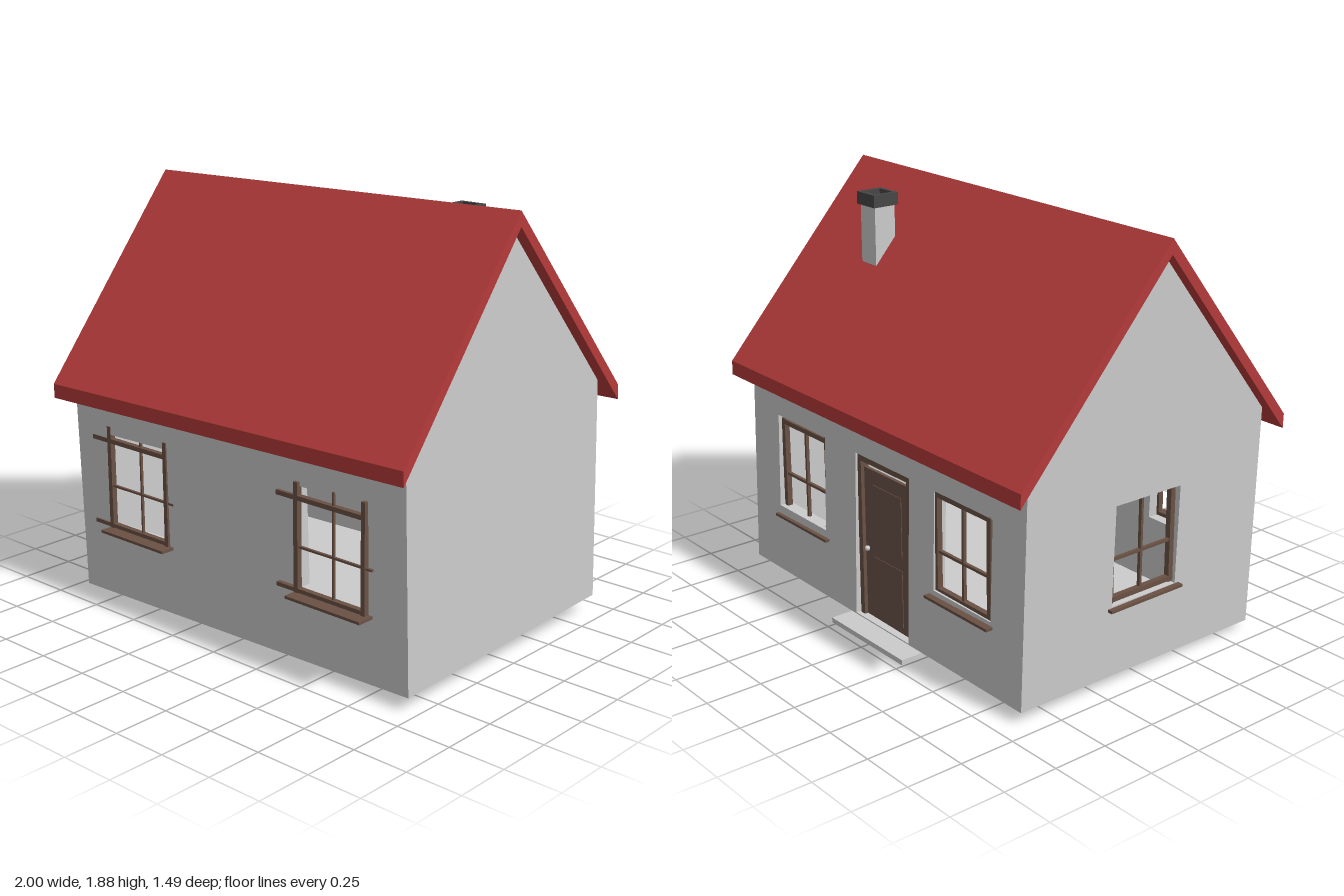
import * as THREE from 'three';

const mat = (color, extra = {}) => new THREE.MeshStandardMaterial({ color, flatShading: true, ...extra });
const plaster = mat(0xcccccc);
const roofRed = mat(0xb53a3a);
const frameBrown = mat(0x6a5244);
const doorBrown = mat(0x6b5248);
const capDark = mat(0x474747);

const W = 0.935, D = 0.65, T = 0.06;            // half width, half depth, wall thickness
const PITCH = 1.17, APEX = 1.745, EAVE = 0.73;  // roof slope and inner ridge height

function add(parent, name, geometry, material) {
  const mesh = new THREE.Mesh(geometry, material);
  mesh.name = name;
  parent.add(mesh);
  return mesh;
}

// Box given by its limits on each axis
function box(parent, name, [x0, x1], [y0, y1], [z0, z1], material) {
  const mesh = add(parent, name, new THREE.BoxGeometry(x1 - x0, y1 - y0, z1 - z0), material);
  mesh.position.set((x0 + x1) / 2, (y0 + y1) / 2, (z0 + z1) / 2);
  return mesh;
}

const polygon = (pts) => new THREE.Shape(pts.map(([x, y]) => new THREE.Vector2(x, y)));
const hole = (x0, x1, y0, y1) =>
  new THREE.Path([[x0, y0], [x0, y1], [x1, y1], [x1, y0]].map(([x, y]) => new THREE.Vector2(x, y)));
const extrude = (shape, depth) => new THREE.ExtrudeGeometry(shape, { depth, bevelEnabled: false });
const windowHole = (cx) => hole(cx - 0.18, cx + 0.18, 0.315, 0.75);

// Walls, floor and roof; this shell leans very slightly
function createShell() {
  const shell = new THREE.Group();
  shell.name = 'houseShell';
  const wallTop = APEX - D * PITCH;

  // Long walls
  const longWall = () => polygon([[-W + T, 0], [W - T, 0], [W - T, wallTop], [-W + T, wallTop]]);
  const front = longWall();
  front.holes.push(windowHole(-0.56), windowHole(0.56));
  add(shell, 'frontWall', extrude(front, T), plaster).position.z = D - T;
  const back = longWall();
  back.holes.push(windowHole(-0.56), windowHole(0.56), hole(-0.215, 0.155, 0.005, 0.75));
  add(shell, 'backWall', extrude(back, T), plaster).position.z = -D;

  // Gable walls, one with a window
  for (const side of [-1, 1]) {
    const gable = polygon([[-D, 0], [D, 0], [D, wallTop], [0, APEX], [-D, wallTop]]);
    if (side < 0) gable.holes.push(windowHole(0));
    const wall = add(shell, side < 0 ? 'rightGable' : 'leftGable', extrude(gable, T).rotateY(Math.PI / 2), plaster);
    wall.position.x = side < 0 ? -W : W - T;
  }

  box(shell, 'floor', [-W + T, W - T], [0, 0.015], [-D + T, D - T], plaster);

  // Roof as one chevron section with vertical fascias
  const low = APEX - EAVE * PITCH, thick = 0.064;
  const chevron = polygon([
    [-EAVE, low], [0, APEX], [EAVE, low],
    [EAVE, low + thick], [0, APEX + thick], [-EAVE, low + thick],
  ]);
  add(shell, 'roof', extrude(chevron, 1.975).rotateY(Math.PI / 2), roofRed).position.x = -0.9875;

  shell.rotation.set(0.0154, 0.0115, 0.0152);
  shell.position.set(0.016, 0.055, -0.005);
  return shell;
}

// Inset window facing +z: frame, cross bars and sill, centred on x = 0
function createWindow(name) {
  const g = new THREE.Group();
  g.name = name;
  const z = [-0.04, -0.015];
  for (const s of [-1, 1]) {
    box(g, 'windowJamb', [s * 0.168 - 0.012, s * 0.168 + 0.012], [0.36, 0.81], z, frameBrown);
    box(g, 'windowRail', [-0.18, 0.18], [0.574 + s * 0.21, 0.596 + s * 0.21], z, frameBrown);
  }
  box(g, 'mullion', [-0.006, 0.006], [0.37, 0.8], [-0.035, -0.02], frameBrown);
  box(g, 'crossBar', [-0.17, 0.17], [0.542, 0.554], [-0.035, -0.02], frameBrown);
  box(g, 'windowSill', [-0.2, 0.2], [0.34, 0.352], [-0.03, 0.025], frameBrown);
  return g;
}

// Front window: loose bars lapping over the wall face
function createFrontWindow(name, x) {
  const g = new THREE.Group();
  g.name = name;
  const z = [0.642, 0.667];
  box(g, 'windowJamb', [-0.18, -0.158], [0.35, 0.82], z, frameBrown);
  box(g, 'windowJamb', [0.175, 0.195], [0.35, 0.82], z, frameBrown);
  box(g, 'windowRail', [-0.275, 0.19], [0.745, 0.765], z, frameBrown);
  box(g, 'windowRail', [-0.275, 0.19], [0.355, 0.372], z, frameBrown);
  box(g, 'mullion', [0.021, 0.029], [0.35, 0.82], [0.648, 0.66], frameBrown);
  box(g, 'crossBar', [-0.16, 0.225], [0.543, 0.552], [0.648, 0.66], frameBrown);
  box(g, 'windowSill', [-0.18, 0.215], [0.34, 0.352], [0.62, 0.72], frameBrown);
  g.position.x = x;
  return g;
}

function createDoor() {
  const g = new THREE.Group();
  g.name = 'backDoor';
  const z = [-0.635, -0.595];
  box(g, 'doorJamb', [-0.215, -0.188], [0.03, 0.81], z, frameBrown);
  box(g, 'doorJamb', [0.13, 0.157], [0.03, 0.81], z, frameBrown);
  box(g, 'doorLintel', [-0.215, 0.157], [0.785, 0.81], z, frameBrown);
  box(g, 'doorLeaf', [-0.2, 0.14], [0, 0.755], [-0.618, -0.602], doorBrown);
  for (const y of [[0.1, 0.36], [0.42, 0.69]])
    box(g, 'doorPanel', [-0.13, 0.07], y, [-0.621, -0.616], doorBrown);
  // Knob
  const knob = add(g, 'doorKnob', new THREE.SphereGeometry(0.012, 10, 8), plaster);
  knob.position.set(0.105, 0.39, -0.63);
  box(g, 'doorStep', [-0.28, 0.23], [0.025, 0.048], [-0.74, -0.51], plaster);
  return g;
}

function createChimney() {
  const g = new THREE.Group();
  g.name = 'chimney';
  box(g, 'chimneyStack', [-0.052, 0.052], [1.4, 1.785], [-0.052, 0.052], plaster);
  // Square cap with an open middle
  const cap = polygon([[-0.063, -0.063], [0.063, -0.063], [0.063, 0.063], [-0.063, 0.063]]);
  cap.holes.push(hole(-0.045, 0.045, -0.045, 0.045));
  add(g, 'chimneyCap', extrude(cap, 0.055).rotateX(-Math.PI / 2), capDark).position.y = 1.765;
  g.position.set(0.503, 0, -0.25);
  return g;
}

export function createModel() {
  const house = new THREE.Group();
  house.name = 'house';
  house.add(createShell(), createDoor(), createChimney());
  house.add(createFrontWindow('frontRightWindow', -0.55), createFrontWindow('frontLeftWindow', 0.565));

  for (const [name, x] of [['backRightWindow', -0.55], ['backLeftWindow', 0.56]]) {
    const w = createWindow(name);
    w.rotation.y = Math.PI;
    w.position.set(x, 0, -0.65);
    house.add(w);
  }
  const side = createWindow('sideWindow');
  side.rotation.y = -Math.PI / 2;
  side.position.set(-0.923, 0, 0.01);
  house.add(side);
  return house;
}
